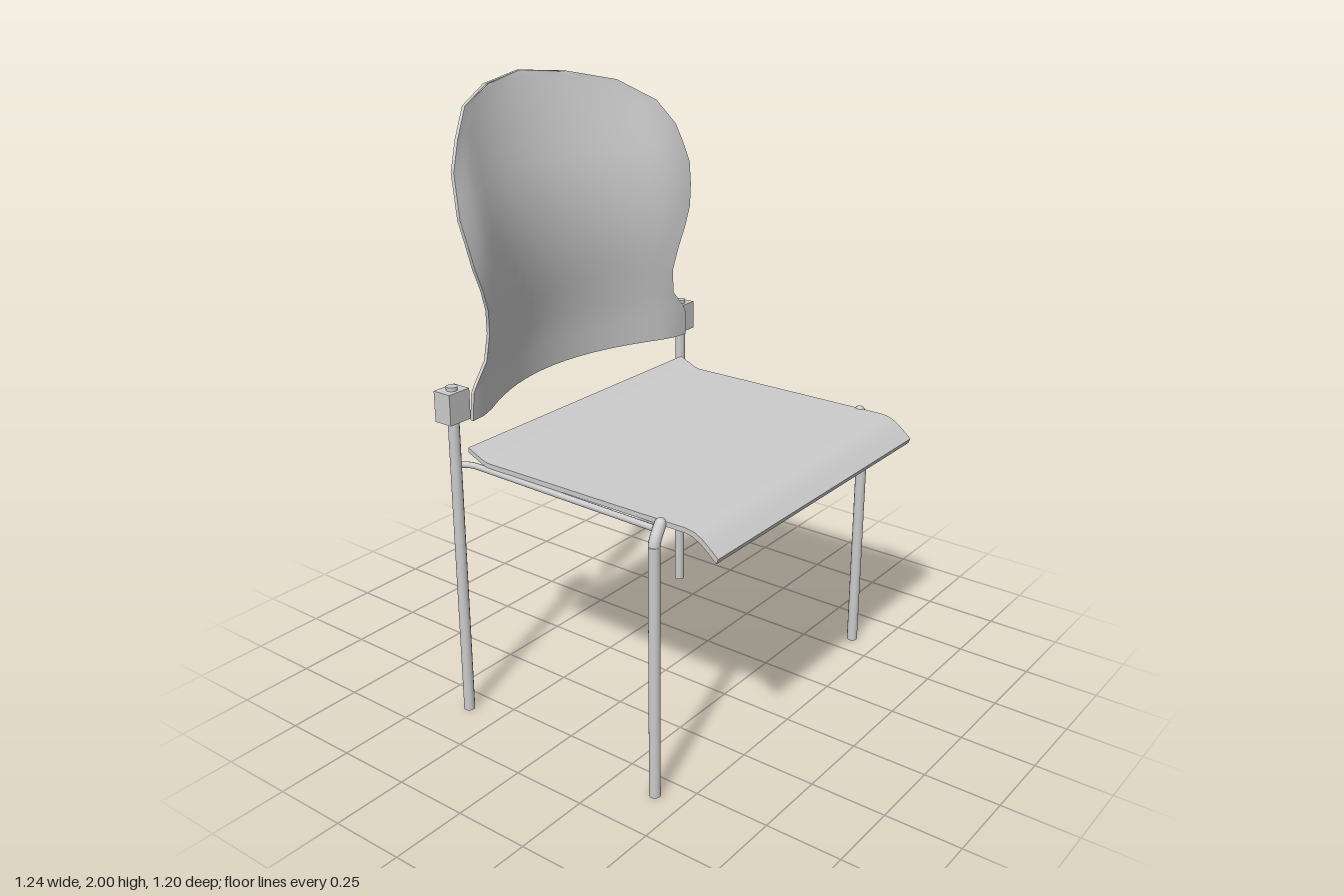
import * as THREE from 'three';
import { toCreasedNormals, mergeVertices } from 'three/addons/utils/BufferGeometryUtils.js';

const grey = new THREE.MeshStandardMaterial({ color: 0xcccccc });
const V = (x, y, z) => new THREE.Vector3(x, y, z);

function part(name, geometry, parent, x = 0, y = 0, z = 0) {
  const mesh = new THREE.Mesh(geometry, grey);
  mesh.name = name;
  mesh.position.set(x, y, z);
  parent.add(mesh);
  return mesh;
}

// Bent sheet: side profile (z, y) thickened downwards and extruded across x
function seatGeometry() {
  const top = [[-0.348, 0.93], [-0.285, 0.902], [-0.265, 0.898], [0.4, 0.9], [0.49, 0.9],
    [0.52, 0.895], [0.545, 0.882], [0.572, 0.861], [0.6, 0.837]];
  const under = top.map(([z, y], i) => [z - (i > 4 ? 0.006 : 0), y - 0.016]).reverse();
  const shape = new THREE.Shape([...top, ...under].map(([z, y]) => new THREE.Vector2(z, y)));
  const geo = new THREE.ExtrudeGeometry(shape, { depth: 1.1, bevelEnabled: false });
  geo.translate(0, 0, -0.55).rotateY(-Math.PI / 2);
  return toCreasedNormals(geo, 0.6);
}

// Curved shell: each row is [height, half width, z at the middle]; sides sweep forward
function backrestGeometry() {
  const rows = [[1.022, 0.545, -0.482], [1.11, 0.54, -0.478], [1.135, 0.525, -0.477], [1.195, 0.474, -0.472],
    [1.28, 0.462, -0.462], [1.36, 0.477, -0.454], [1.43, 0.503, -0.452], [1.5, 0.532, -0.455],
    [1.575, 0.548, -0.464], [1.65, 0.56, -0.479], [1.715, 0.549, -0.498], [1.78, 0.535, -0.52],
    [1.865, 0.475, -0.548], [1.94, 0.36, -0.573], [1.98, 0.19, -0.587], [2.0, 0.004, -0.594]];
  const cols = 20, half = 0.006, ring = 2 * (cols + 1);
  const sweep = x => {
    const a = 0.66 * x * x + 1e-4;
    return Math.pow(Math.pow(a, -10) + Math.pow(0.152, -10), -0.1);
  };
  const pos = [], idx = [];
  for (const [y, w, z] of rows) {
    for (let k = 0; k < ring; k++) {
      const front = k <= cols;
      const x = w * (2 * (front ? k : ring - 1 - k) / cols - 1);
      pos.push(x, y, z + sweep(x) + (front ? half : -half));
    }
  }
  for (let r = 0; r < rows.length - 1; r++) {
    for (let k = 0; k < ring; k++) {
      const a = r * ring + k, b = r * ring + (k + 1) % ring;
      idx.push(a, b, b + ring, a, b + ring, a + ring);
    }
  }
  // Close the lower and upper edges
  const last = (rows.length - 1) * ring;
  for (let k = 0; k < cols; k++) {
    const f = k, f1 = k + 1, b = ring - 1 - k, b1 = b - 1;
    idx.push(f, b, b1, f, b1, f1);
    idx.push(last + f, last + b1, last + b, last + f, last + f1, last + b1);
  }
  const geo = new THREE.BufferGeometry();
  geo.setAttribute('position', new THREE.Float32BufferAttribute(pos, 3));
  geo.setIndex(idx);
  return toCreasedNormals(mergeVertices(geo), 0.8);
}

export function createModel() {
  const chair = new THREE.Group();
  chair.name = 'chair';
  part('seat', seatGeometry(), chair);
  part('backrest', backrestGeometry(), chair);

  const R = 0.018;
  for (const s of [1, -1]) {
    const side = new THREE.Group();
    side.name = s > 0 ? 'leftFrame' : 'rightFrame';
    chair.add(side);

    // Rear post runs through the backrest clamp
    part('rearLeg', new THREE.CylinderGeometry(R, R, 1.135, 14), side, s * 0.58, 0.5675, -0.375);
    part('backrestClamp', new THREE.BoxGeometry(0.085, 0.1, 0.066), side, s * 0.5785, 1.073, -0.378);

    // Front leg with its top bent in to the seat edge
    part('frontLeg', new THREE.CylinderGeometry(R, R, 0.83, 14), side, s * 0.582, 0.415, 0.403);
    const bend = new THREE.QuadraticBezierCurve3(
      V(s * 0.582, 0.83, 0.403), V(s * 0.58, 0.85, 0.403), V(s * 0.553, 0.89, 0.403));
    part('frontLegBend', new THREE.TubeGeometry(bend, 8, R, 14), side);
    part('frontLegEnd', new THREE.SphereGeometry(R, 14, 8), side, s * 0.553, 0.89, 0.403);

    // Thin rail under the seat edge, turning out to the rear post
    const rail = new THREE.CurvePath();
    rail.add(new THREE.LineCurve3(V(s * 0.56, 0.873, 0.4), V(s * 0.546, 0.873, -0.31)));
    rail.add(new THREE.QuadraticBezierCurve3(
      V(s * 0.546, 0.873, -0.31), V(s * 0.545, 0.873, -0.36), V(s * 0.58, 0.873, -0.373)));
    part('seatRail', new THREE.TubeGeometry(rail, 60, 0.01, 10), side);
  }
  return chair;
}
